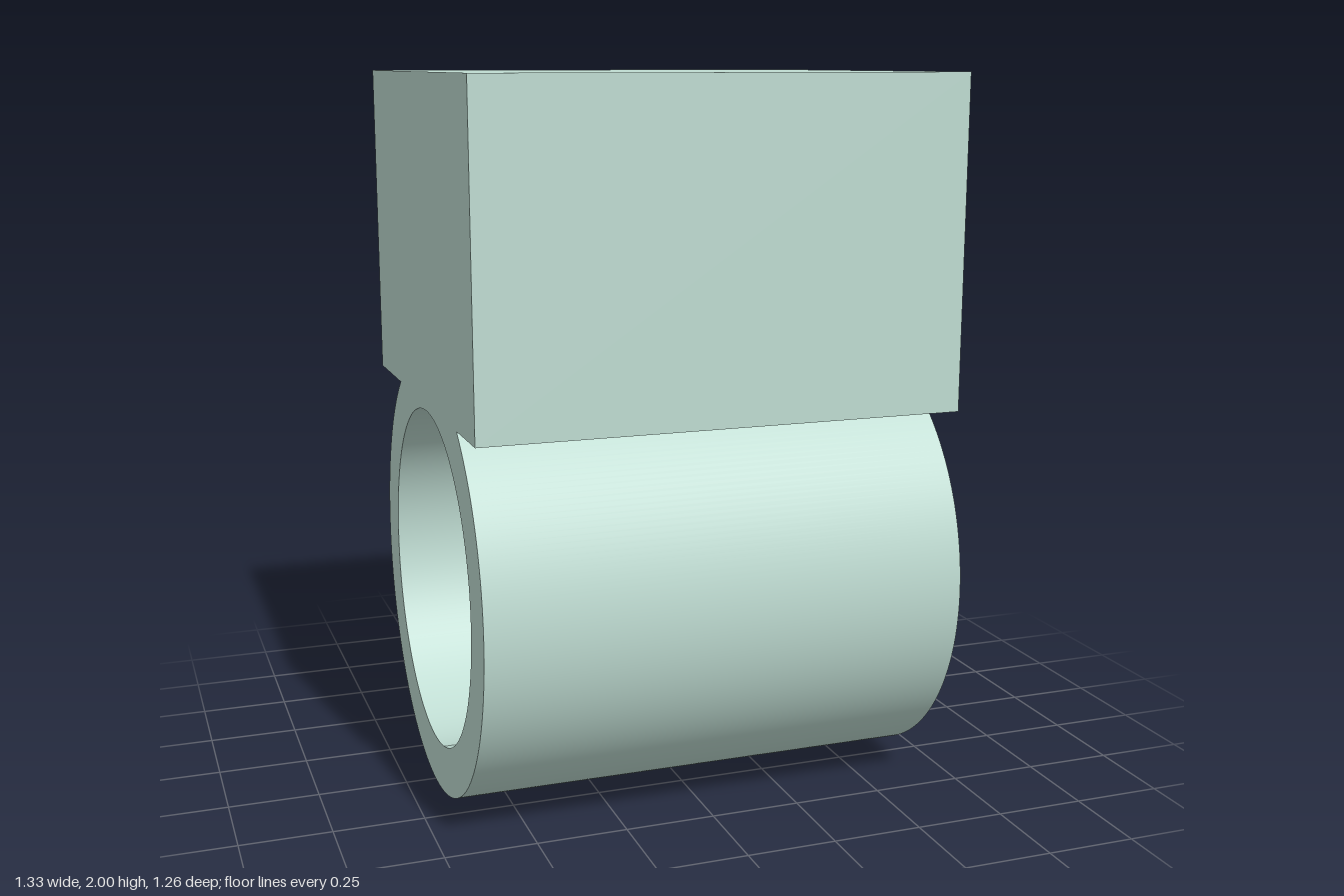
import * as THREE from 'three';
import { toCreasedNormals } from 'three/addons/utils/BufferGeometryUtils.js';

const WIDTH = 1.33;
const RING = { z: 0.02, y: 0.612, outer: 0.612, inner: 0.475 };
const BLOCK = { back: -0.632, front: 0.585, bottom: 1.105, top: 2 };

export function createModel() {
  const group = new THREE.Group();
  group.name = 'blockOnTube';

  // Side profile (z, y): square block merging into a round tube below
  const a = Math.asin((BLOCK.bottom - RING.y) / RING.outer);
  const profile = new THREE.Shape();
  profile.moveTo(BLOCK.front, BLOCK.bottom);
  profile.lineTo(BLOCK.front, BLOCK.top);
  profile.lineTo(BLOCK.back, BLOCK.top);
  profile.lineTo(BLOCK.back, BLOCK.bottom);
  profile.absarc(RING.z, RING.y, RING.outer, Math.PI - a, 2 * Math.PI + a, false);
  profile.closePath();

  // Bore through the tube
  const bore = new THREE.Path();
  bore.absarc(RING.z, RING.y, RING.inner, 0, 2 * Math.PI, true);
  profile.holes.push(bore);

  // Extrude across the width, then turn the profile to face sideways
  const geometry = new THREE.ExtrudeGeometry(profile, {
    depth: WIDTH, bevelEnabled: false, curveSegments: 96,
  });
  geometry.translate(0, 0, -WIDTH / 2);
  geometry.rotateY(-Math.PI / 2);

  const body = new THREE.Mesh(
    toCreasedNormals(geometry, 0.5),
    new THREE.MeshStandardMaterial({ color: 0xbfdcd2 }),
  );
  body.name = 'blockAndTube';
  group.add(body);
  return group;
}
